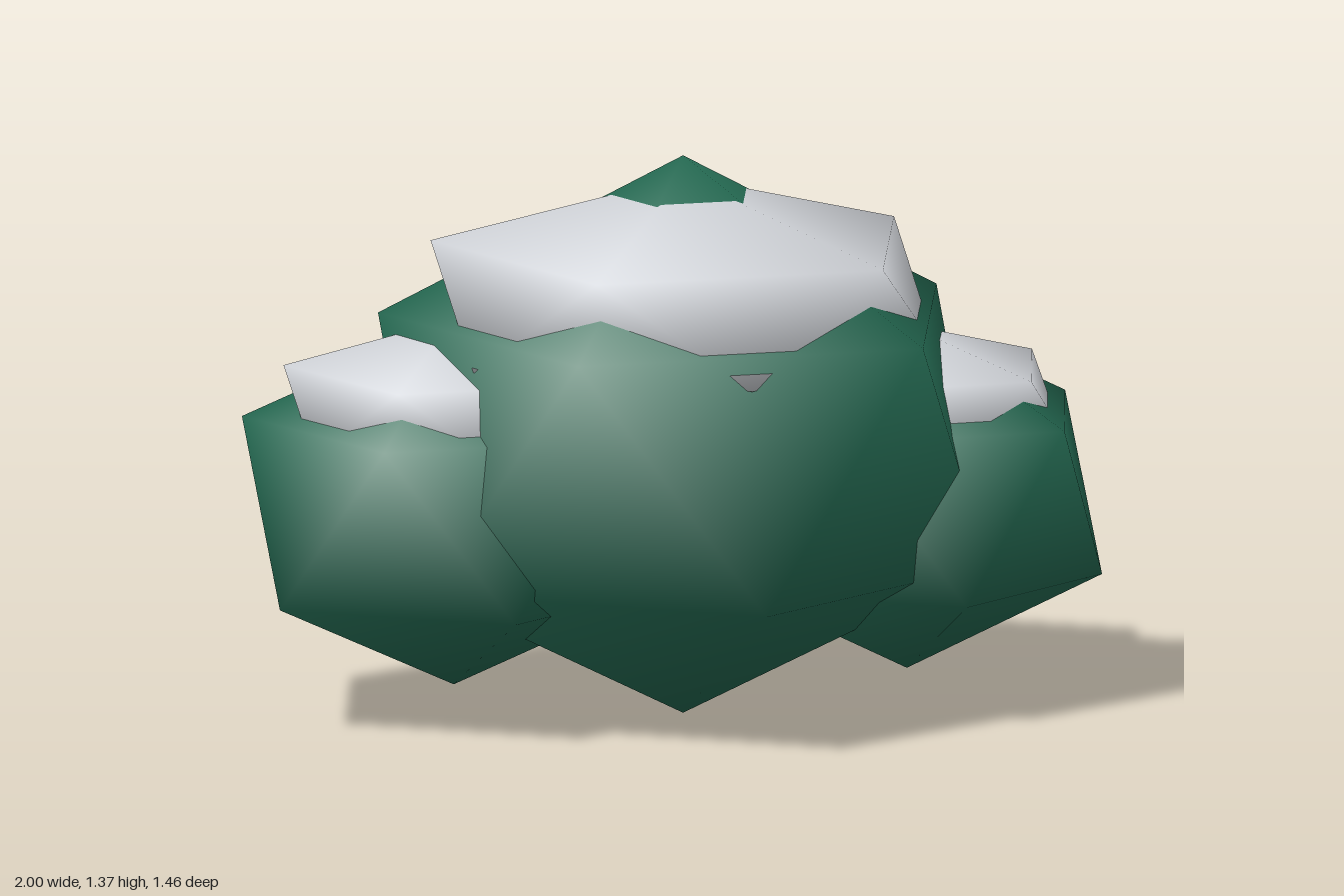
import * as THREE from 'three';

const leaf = new THREE.MeshStandardMaterial({ color: 0x256b53 });
leaf.name = 'leaf green';
const snow = new THREE.MeshStandardMaterial({ color: 0xd2d5da });
snow.name = 'snow white';

// Smooth 20-faced blob: two poles and two staggered rings of five.
// ys = heights of bottom pole, lower ring, upper ring, top pole.
function blob(name, material, [cx, cz], radius, ys, turn) {
  const [bottom, low, high, top] = ys;
  const points = [cx, top, cz];
  const ring = (y, offset) => {
    for (let i = 0; i < 5; i++) {
      const a = THREE.MathUtils.degToRad(turn + offset + i * 72);
      points.push(cx + radius * Math.cos(a), y, cz + radius * Math.sin(a));
    }
  };
  ring(high, 0);
  ring(low, 36);
  points.push(cx, bottom, cz);

  const index = [];
  for (let i = 0; i < 5; i++) {
    const j = (i + 1) % 5;
    const u0 = 1 + i, u1 = 1 + j, l0 = 6 + i, l1 = 6 + j;
    index.push(0, u1, u0, u0, u1, l0, u1, l1, l0, l0, l1, 11);
  }
  const geometry = new THREE.BufferGeometry();
  geometry.setAttribute('position', new THREE.Float32BufferAttribute(points, 3));
  geometry.setIndex(index);
  geometry.computeVertexNormals();
  const mesh = new THREE.Mesh(geometry, material);
  mesh.name = name;
  return mesh;
}

export function createModel() {
  const bush = new THREE.Group();
  bush.name = 'snowyBush';
  bush.add(
    // Large middle clump with its snow cap
    blob('middleFoliage', leaf, [-0.005, 0.02], 0.735, [0, 0.365, 0.975, 1.365], 1),
    blob('middleSnowCap', snow, [-0.01, 0.03], 0.61, [0.74, 0.897, 1.155, 1.315], 1),
    // Smaller clump on the model's left
    blob('leftFoliage', leaf, [0.53, 0.195], 0.47, [0.08, 0.31, 0.71, 0.94], -1),
    blob('leftSnowCap', snow, [0.53, 0.19], 0.375, [0.56, 0.66, 0.82, 0.92], -1),
    // Smaller clump on the model's right
    blob('rightFoliage', leaf, [-0.49, -0.25], 0.51, [0.08, 0.315, 0.735, 0.97], 0),
    blob('rightSnowCap', snow, [-0.49, -0.25], 0.41, [0.57, 0.68, 0.86, 0.975], 0),
  );
  return bush;
}
